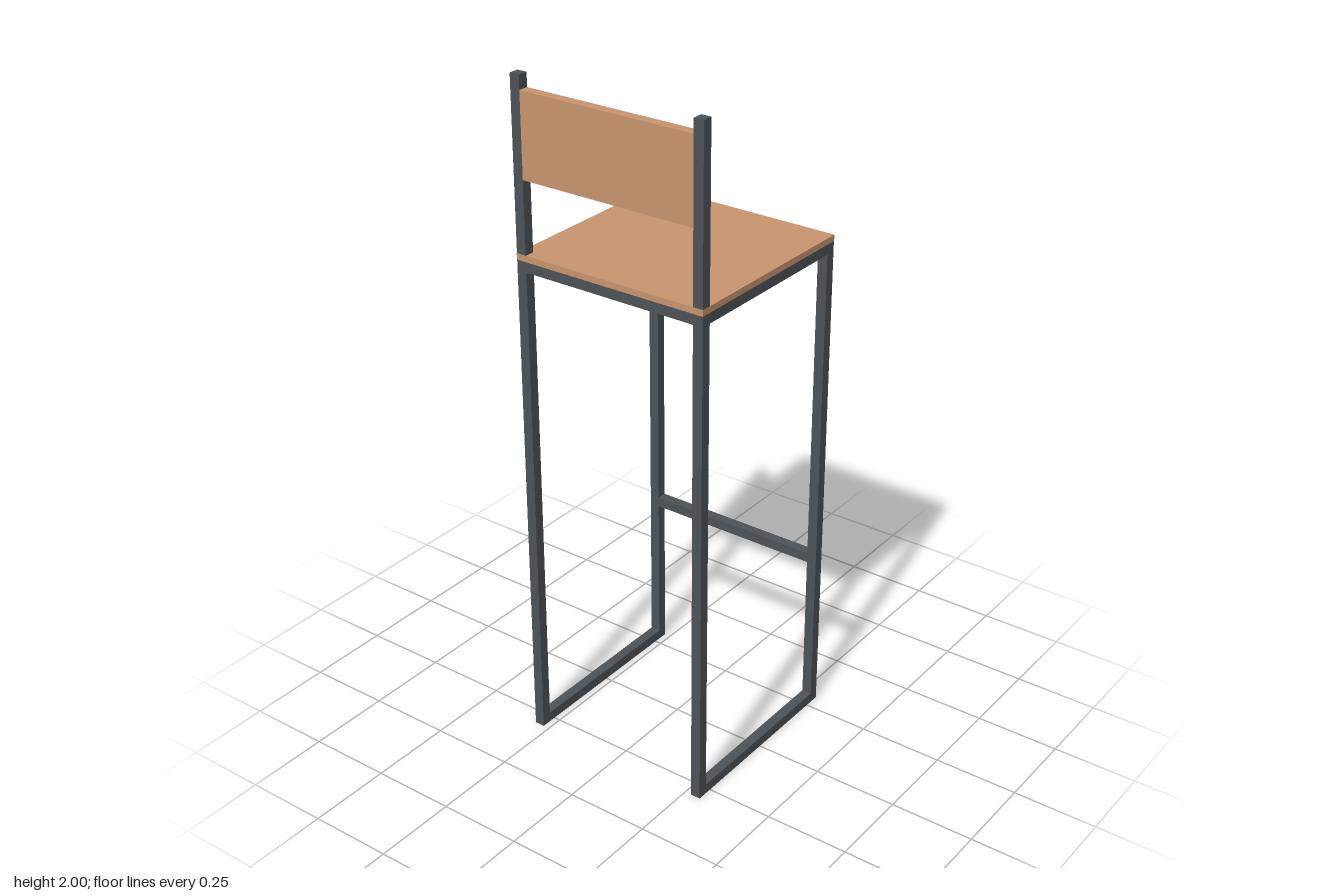
import * as THREE from 'three';

export function createModel() {
  const model = new THREE.Group();
  model.name = 'barStool';

  const metal = new THREE.MeshStandardMaterial({ color: 0x4d5358 });
  metal.name = 'dark metal';
  const wood = new THREE.MeshStandardMaterial({ color: 0xc8966e });
  wood.name = 'wood';

  const T = 0.03; // square tube width
  const E = 0.285; // tube centre line
  const SPAN = 2 * E - T; // clear length between tubes
  const RAIL_TOP = 1.492;

  function box(name, material, [w, h, d], [x, y, z]) {
    const mesh = new THREE.Mesh(new THREE.BoxGeometry(w, h, d), material);
    mesh.name = name;
    mesh.position.set(x, y, z);
    model.add(mesh);
  }

  // Two side frames: tall back post, front leg, floor rail and seat rail
  for (const s of [-1, 1]) {
    box('backPost', metal, [T, 2, T], [-E, 1, s * E]);
    box('frontLeg', metal, [T, RAIL_TOP, T], [E, RAIL_TOP / 2, s * E]);
    box('floorRail', metal, [SPAN, T, T], [0, T / 2, s * E]);
    box('sideSeatRail', metal, [SPAN, T, T], [0, RAIL_TOP - T / 2, s * E]);
    // Cross rails under the front and back edges of the seat
    box('crossSeatRail', metal, [T, T, SPAN], [s * E, RAIL_TOP - T / 2, 0]);
  }

  // Footrest between the front legs
  box('footrest', metal, [T, T, SPAN], [E, 0.5, 0]);

  // Seat board, a hair proud of the frame, and the backrest between the posts
  box('seat', wood, [0.601, 0.018, 0.601], [0, RAIL_TOP + 0.009, 0]);
  box('backrest', wood, [T, 0.24, SPAN], [-E, 1.84, 0]);

  return model;
}
